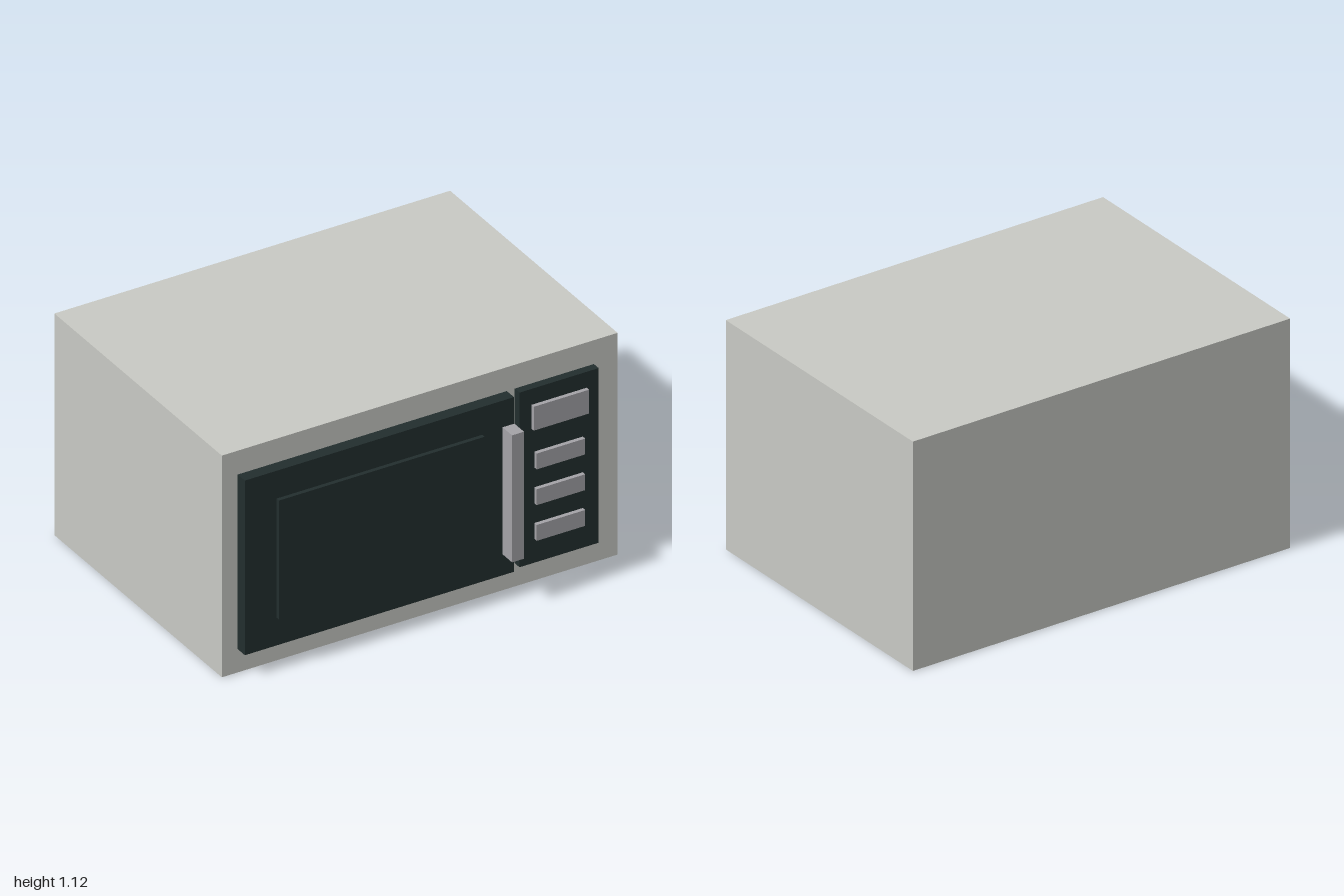
import * as THREE from 'three';

const material = (name, color) => {
  const m = new THREE.MeshStandardMaterial({ color });
  m.name = name;
  return m;
};

export function createModel() {
  const casing = material('casing grey', 0xc8c9c4);
  const dark = material('dark glass', 0x222e2e);
  const metal = material('trim grey', 0xa3a2a7);

  const model = new THREE.Group();
  model.name = 'microwaveOven';

  // Box given by its limits on each axis
  const box = (name, mat, [x0, x1], [y0, y1], [z0, z1]) => {
    const mesh = new THREE.Mesh(new THREE.BoxGeometry(x1 - x0, y1 - y0, z1 - z0), mat);
    mesh.position.set((x0 + x1) / 2, (y0 + y1) / 2, (z0 + z1) / 2);
    mesh.name = name;
    model.add(mesh);
  };

  // Casing
  box('body', casing, [-1, 1], [0.003, 1.12], [-0.78, 0.62]);

  // Door with raised window and upright handle
  box('door', dark, [-0.92, 0.44], [0.12, 1], [0.62, 0.68]);
  box('window', dark, [-0.76, 0.28], [0.26, 0.86], [0.68, 0.7]);
  box('handle', metal, [0.37, 0.43], [0.24, 0.88], [0.7, 0.78]);

  // Control panel with display and buttons
  box('controlPanel', dark, [0.48, 0.88], [0.12, 1], [0.62, 0.66]);
  box('display', metal, [0.54, 0.82], [0.8, 0.92], [0.66, 0.68]);
  [0.6, 0.42, 0.24].forEach((y, i) =>
    box(`button${i + 1}`, metal, [0.555, 0.8], [y, y + 0.08], [0.66, 0.68]));

  // Flat feet, almost flush with the underside
  for (const x of [-0.84, 0.84])
    for (const z of [-0.6, 0.45])
      box('foot', dark, [x - 0.05, x + 0.05], [0, 0.006], [z - 0.05, z + 0.05]);

  return model;
}
